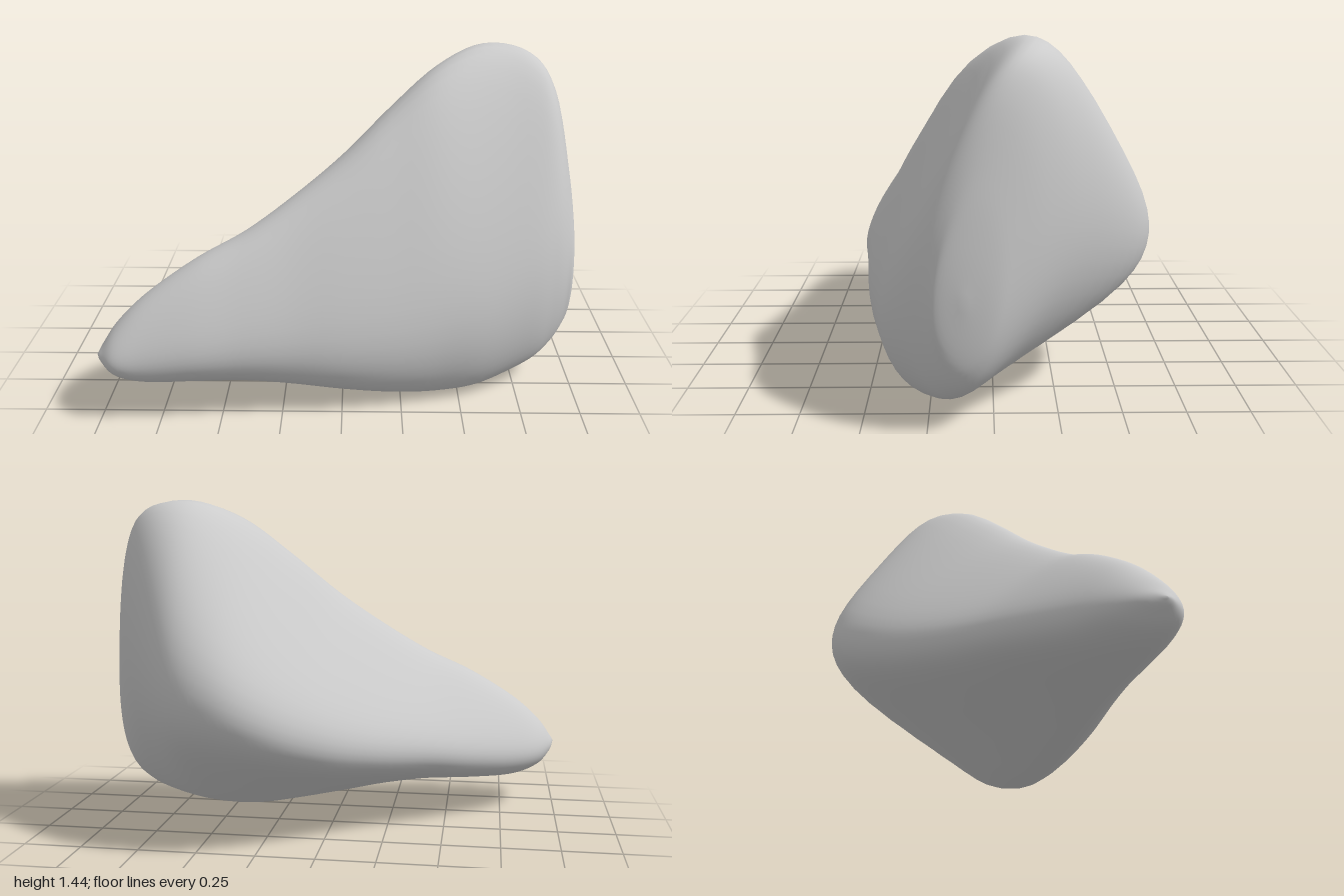
import * as THREE from 'three';
import { mergeVertices } from 'three/addons/utils/BufferGeometryUtils.js';

// Stations from the narrow tip to the broad end:
// x, top y, bottom y, back z, front z, then where the corners sit as
// fractions of the section: top along z, bottom along z, back along y,
// and last the corner rounding (0.5 is an ellipse)
const STATIONS = [
  [-1.0, 0.29, 0.29, 0.54, 0.54, 0.5, 0.5, 0.4, 0.5],
  [-0.98, 0.325, 0.25, 0.44, 0.575, 0.5, 0.52, 0.4, 0.4],
  [-0.92, 0.41, 0.19, 0.33, 0.622, 0.52, 0.55, 0.38, 0.33],
  [-0.8, 0.52, 0.15, 0.21, 0.63, 0.55, 0.58, 0.38, 0.28],
  [-0.6, 0.65, 0.14, 0.04, 0.625, 0.58, 0.64, 0.38, 0.24],
  [-0.4, 0.75, 0.13, -0.11, 0.6, 0.61, 0.7, 0.4, 0.22],
  [-0.2, 0.88, 0.1, -0.29, 0.575, 0.62, 0.75, 0.42, 0.2],
  [0.0, 1.03, 0.06, -0.47, 0.555, 0.62, 0.78, 0.45, 0.2],
  [0.2, 1.21, 0.025, -0.6, 0.525, 0.6, 0.8, 0.47, 0.2],
  [0.4, 1.37, 0.003, -0.635, 0.485, 0.56, 0.8, 0.48, 0.21],
  [0.6, 1.445, 0.02, -0.565, 0.44, 0.48, 0.8, 0.48, 0.23],
  [0.8, 1.405, 0.085, -0.34, 0.36, 0.38, 0.74, 0.5, 0.28],
  [0.9, 1.27, 0.15, -0.2, 0.295, 0.37, 0.7, 0.5, 0.33],
  [0.96, 0.97, 0.23, -0.08, 0.24, 0.4, 0.62, 0.5, 0.38],
  [0.988, 0.74, 0.33, 0.0, 0.21, 0.45, 0.55, 0.5, 0.43],
  [1.0, 0.54, 0.54, 0.11, 0.11, 0.5, 0.5, 0.5, 0.5],
];
const RINGS = 75;
const SIDES = 48;

// Smooth interpolation of three columns
const columns = (a, b, c) => new THREE.CatmullRomCurve3(
  STATIONS.map((s) => new THREE.Vector3(s[a], s[b], s[c])), false, 'catmullrom', 0.5);

// Rounded section in a unit box, as [z, y] pairs: a soft blend of four
// corners chosen by direction, plus a rounding radius
function roundedSection(topZ, bottomZ, backY, radius) {
  const corners = [[topZ, 1 - radius], [bottomZ, radius], [radius, backY], [1 - radius, 0.36]];
  const sharpness = 8;
  const points = [];
  for (let j = 0; j < SIDES; j++) {
    const angle = (j / SIDES) * Math.PI * 2;
    const c = Math.cos(angle), s = Math.sin(angle);
    const weights = corners.map(([z, y]) => Math.exp(sharpness * (z * c + y * s)));
    const sum = weights.reduce((a, b) => a + b, 0);
    let z = radius * c, y = radius * s;
    corners.forEach((p, i) => {
      z += (p[0] * weights[i]) / sum;
      y += (p[1] * weights[i]) / sum;
    });
    points.push([z, y]);
  }
  // Fill the unit box exactly
  for (const axis of [0, 1]) {
    const values = points.map((p) => p[axis]);
    const low = Math.min(...values), high = Math.max(...values);
    points.forEach((p) => { p[axis] = (p[axis] - low) / (high - low); });
  }
  return points;
}

function stoneGeometry() {
  const heights = columns(0, 1, 2);
  const depths = columns(3, 4, 8);
  const corners = columns(5, 6, 7);
  const positions = [], indices = [];
  for (let i = 0; i <= RINGS; i++) {
    const t = i / RINGS;
    const h = heights.getPoint(t), d = depths.getPoint(t), k = corners.getPoint(t);
    for (const [z, y] of roundedSection(k.x, k.y, k.z, d.z)) {
      positions.push(h.x, h.z + (h.y - h.z) * y, d.x + (d.y - d.x) * z);
    }
  }
  // Both end rings shrink to a point, so they need one triangle per side
  for (let i = 0; i < RINGS; i++) {
    for (let j = 0; j < SIDES; j++) {
      const next = (j + 1) % SIDES;
      const a = i * SIDES + j, b = a + SIDES;
      const c = i * SIDES + next, d = c + SIDES;
      if (i > 0) indices.push(a, b, c);
      if (i < RINGS - 1) indices.push(b, d, c);
    }
  }
  const geometry = new THREE.BufferGeometry();
  geometry.setAttribute('position', new THREE.Float32BufferAttribute(positions, 3));
  geometry.setIndex(indices);
  const merged = mergeVertices(geometry, 1e-5);
  merged.computeVertexNormals();
  return merged;
}

export function createModel() {
  const group = new THREE.Group();
  group.name = 'rock';
  const stone = new THREE.Mesh(stoneGeometry(),
    new THREE.MeshStandardMaterial({ color: 0xcccccc }));
  stone.name = 'stone';
  group.add(stone);
  return group;
}
